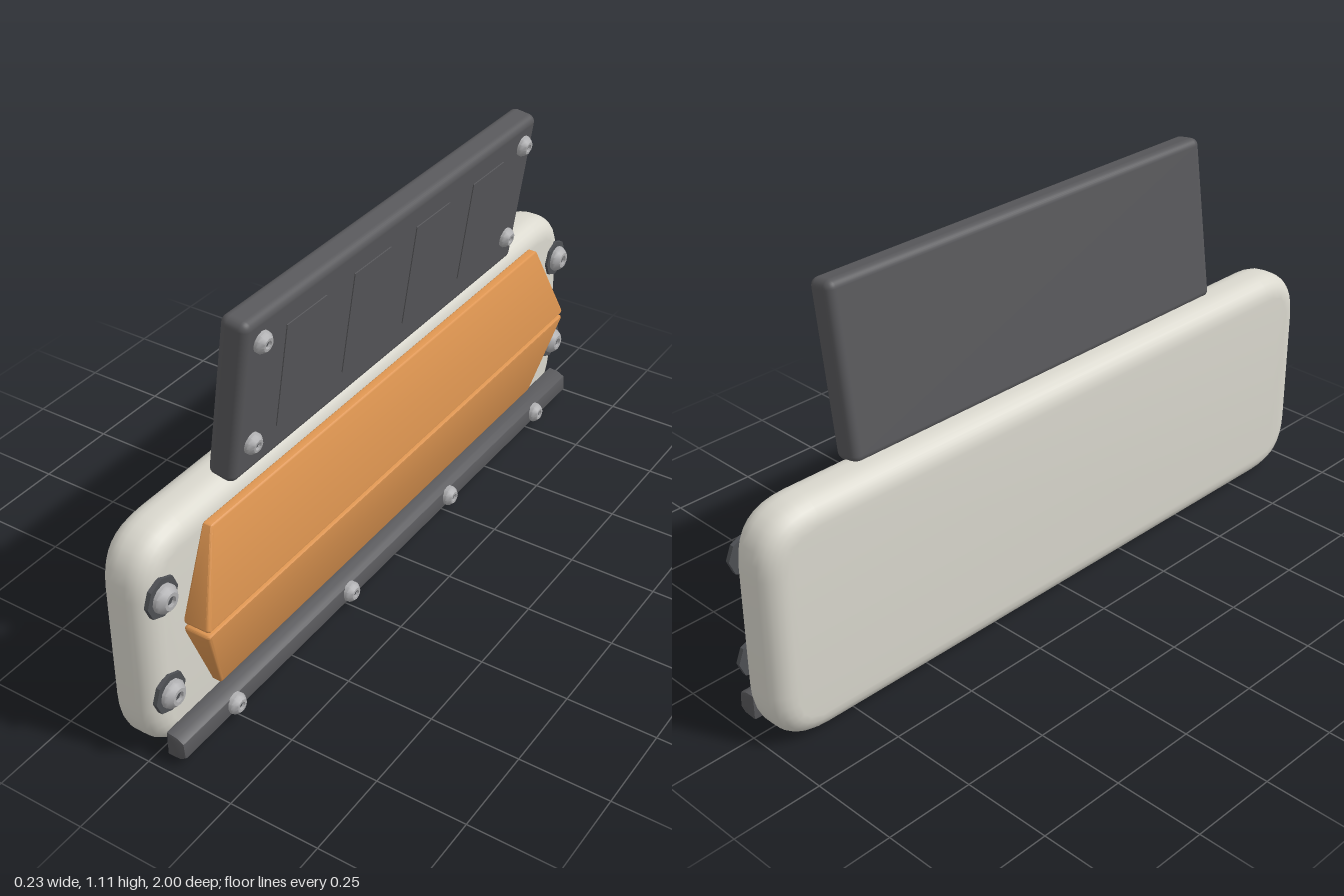
import * as THREE from 'three';
import { toCreasedNormals } from 'three/addons/utils/BufferGeometryUtils.js';
import { RoundedBoxGeometry } from 'three/addons/geometries/RoundedBoxGeometry.js';

const material = (name, color) => {
  const m = new THREE.MeshStandardMaterial({ color });
  m.name = name;
  return m;
};

// Closed polygon with each corner rounded by radius r
function roundedShape(corners, r) {
  const pts = corners.map(([x, y]) => new THREE.Vector2(x, y));
  const shape = new THREE.Shape();
  pts.forEach((p, i) => {
    const prev = pts[(i + pts.length - 1) % pts.length];
    const next = pts[(i + 1) % pts.length];
    const inDir = prev.clone().sub(p).normalize();
    const outDir = next.clone().sub(p).normalize();
    const cut = r / Math.tan(Math.acos(inDir.dot(outDir)) / 2);
    const a = p.clone().addScaledVector(inDir, cut);
    const b = p.clone().addScaledVector(outDir, cut);
    if (i === 0) shape.moveTo(a.x, a.y);
    else shape.lineTo(a.x, a.y);
    shape.quadraticCurveTo(p.x, p.y, b.x, b.y);
  });
  shape.closePath();
  return shape;
}

// Bevelled slab lying in the yz plane, from x = 0 to x = thickness
function slab(shape, thickness, bevel, segments) {
  const geo = new THREE.ExtrudeGeometry(shape, {
    depth: thickness - 2 * bevel, bevelEnabled: true, bevelSize: bevel, bevelOffset: -bevel,
    bevelThickness: bevel, bevelSegments: segments, curveSegments: 8,
  });
  geo.translate(0, 0, bevel);
  geo.rotateY(Math.PI / 2);
  return geo;
}

export function createModel() {
  const model = new THREE.Group();
  model.name = 'model';
  const shellMat = material('offWhite', 0xdad8ce);
  const orangeMat = material('orange', 0xdc9450);
  const darkMat = material('darkGrey', 0x58585b);
  const washerMat = material('washerGrey', 0x4e5054);
  const steelMat = material('steel', 0xaeaeb0);

  const add = (parent, name, geo, mat, x = 0, y = 0, z = 0) => {
    const mesh = new THREE.Mesh(geo, mat);
    mesh.name = name;
    mesh.position.set(x, y, z);
    parent.add(mesh);
    return mesh;
  };

  // Screw pointing along +x, with a hollow socket and a dark socket floor
  function addBolt(parent, name, r, h, x, y, z) {
    const bolt = new THREE.Group();
    bolt.name = name;
    bolt.position.set(x, y, z);
    bolt.rotation.z = -Math.PI / 2;
    parent.add(bolt);
    const profile = [
      [r, -0.004], [r, 0.35 * h], [0.88 * r, 0.65 * h], [0.62 * r, h],
      [0.38 * r, h], [0.38 * r, 0.6 * h], [0, 0.6 * h],
    ].map(([a, b]) => new THREE.Vector2(a, b));
    add(bolt, 'boltHead', toCreasedNormals(new THREE.LatheGeometry(profile, 12), 0.6), steelMat);
    add(bolt, 'boltSocket', new THREE.CylinderGeometry(0.36 * r, 0.36 * r, 0.003, 6), washerMat, 0, 0.62 * h, 0);
  }

  // Main shell with wide soft edges
  const shellShape = roundedShape([[-1, 0], [1, 0], [1, 0.655], [-1, 0.655]], 0.16);
  add(model, 'shell', toCreasedNormals(slab(shellShape, 0.15, 0.06, 6), 0.6), shellMat, -0.115, 0, 0);

  // Two mirrored wedge panels that meet in a ridge
  for (const side of [1, -1]) {
    const height = 0.242;
    const corners = [[-0.88, 0], [0.88, 0], [0.78, height], [-0.78, height]];
    const shape = roundedShape(side > 0 ? corners : corners.map(([u, v]) => [u, -v]).reverse(), 0.014);
    const geo = slab(shape, 0.08, 0.01, 3);
    const pos = geo.attributes.position;
    for (let i = 0; i < pos.count; i++) {
      const t = Math.abs(pos.getY(i)) / height;
      pos.setX(i, pos.getX(i) * (1 - 0.66 * t));
    }
    add(model, side > 0 ? 'upperPanel' : 'lowerPanel', toCreasedNormals(geo, 0.6), orangeMat,
      0.034, 0.362 + side * 0.003, 0);
  }

  // Bolts with octagonal washers at the shell's ends
  for (const z of [0.945, -0.945]) {
    for (const y of [0.5, 0.205]) {
      const washer = add(model, 'washer', new THREE.CylinderGeometry(0.055, 0.055, 0.012, 8).toNonIndexed(),
        washerMat, 0.037, y, z);
      washer.geometry.computeVertexNormals();
      washer.rotation.z = -Math.PI / 2;
      addBolt(model, 'endBolt', 0.038, 0.026, 0.043, y, z);
    }
  }

  // Lower bar with a chamfered section, and its bolts
  const barShape = roundedShape([[0.035, 0.016], [0.075, 0.018], [0.092, 0.03], [0.088, 0.075], [0.065, 0.087], [0.035, 0.09]], 0.004);
  const barGeo = new THREE.ExtrudeGeometry(barShape, {
    depth: 1.924, bevelEnabled: true, bevelSize: 0.006, bevelOffset: -0.006,
    bevelThickness: 0.006, bevelSegments: 2, curveSegments: 3,
  });
  add(model, 'lowerBar', toCreasedNormals(barGeo, 0.6), darkMat, 0, 0, -0.962);
  for (const z of [0.765, 0.255, -0.255, -0.765]) addBolt(model, 'barBolt', 0.029, 0.022, 0.09, 0.054, z);

  // Tilted top plate with raised inlays and corner bolts
  const plate = new THREE.Group();
  plate.name = 'topPlate';
  plate.position.set(0.029, 0.872, 0);
  plate.rotation.z = -0.14;
  model.add(plate);
  add(plate, 'plate', new RoundedBoxGeometry(0.078, 0.467, 1.33, 4, 0.022), darkMat);
  for (const z of [-0.42, -0.14, 0.14, 0.42]) {
    add(plate, 'inlay', new THREE.BoxGeometry(0.008, 0.3, 0.16), darkMat, 0.038, 0.005, z);
  }
  for (const z of [-0.6, 0.6]) {
    for (const y of [0.163, -0.135]) addBolt(plate, 'plateBolt', 0.029, 0.022, 0.039, y, z);
  }

  return model;
}
